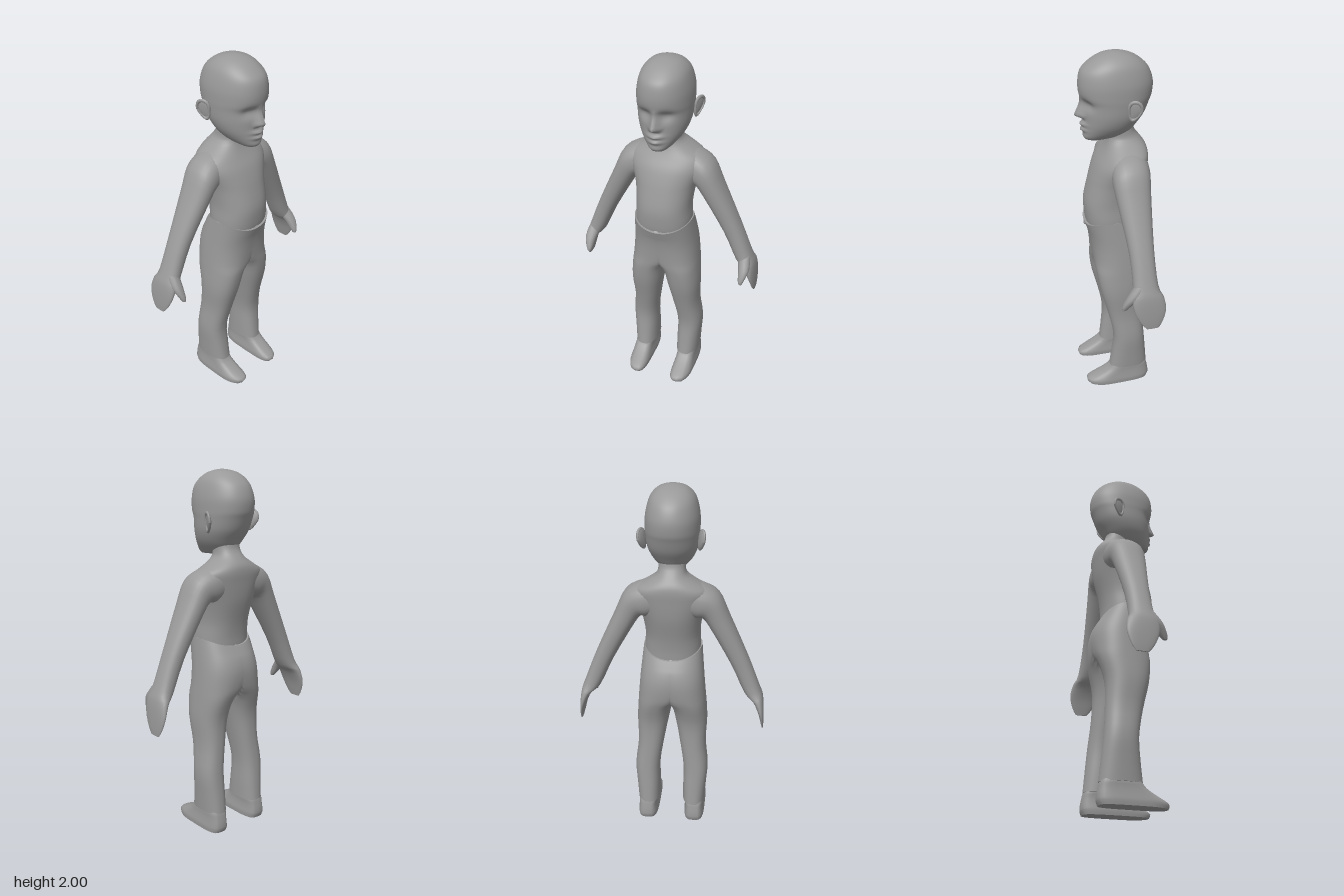
import * as THREE from 'three';

const material = new THREE.MeshStandardMaterial({ color: 0x999999 });

// Uniform Catmull-Rom value between b and c
const spline = (a, b, c, d, t) =>
  0.5 * (2 * b + (c - a) * t + (2 * a - 5 * b + 4 * c - d) * t * t + (3 * b - a - 3 * c + d) * t ** 3);

// Skin over oval rings listed from bottom to top.
// Ring: [outer x, outer y, inner x, inner y, front z, back z]
function loft(rings, { n = 28, steps = 3, power = 2.3, warp = null } = {}) {
  const fine = [];
  const at = i => rings[Math.min(Math.max(i, 0), rings.length - 1)];
  for (let i = 0; i < rings.length - 1; i++)
    for (let s = 0; s < steps; s++)
      fine.push(rings[i].map((_, k) => spline(at(i - 1)[k], at(i)[k], at(i + 1)[k], at(i + 2)[k], s / steps)));
  fine.push(at(rings.length - 1));

  const round = v => Math.sign(v) * Math.abs(v) ** (2 / power);
  const pos = [], index = [];
  const addRing = ([ox, oy, ix, iy, zf, zb]) => {
    for (let j = 0; j < n; j++) {
      const t = (j / n) * Math.PI * 2, c = round(Math.cos(t)), s = round(Math.sin(t));
      const p = new THREE.Vector3(
        (ox + ix) / 2 + c * (ox - ix) / 2,
        (oy + iy) / 2 + c * (oy - iy) / 2,
        (zf + zb) / 2 + s * (zf - zb) / 2);
      if (warp) warp(p);
      pos.push(p.x, p.y, p.z);
    }
  };
  fine.forEach(addRing);
  for (let i = 0; i < fine.length - 1; i++)
    for (let j = 0; j < n; j++) {
      const a = i * n + j, b = i * n + (j + 1) % n;
      index.push(a, a + n, b, b, a + n, b + n);
    }
  // End caps with their own corners
  [[fine[0], false], [fine[fine.length - 1], true]].forEach(([ring, top]) => {
    const start = pos.length / 3;
    addRing(ring);
    for (let j = 1; j < n - 1; j++)
      index.push(start, start + (top ? j + 1 : j), start + (top ? j : j + 1));
  });
  const geo = new THREE.BufferGeometry();
  geo.setAttribute('position', new THREE.Float32BufferAttribute(pos, 3));
  geo.setIndex(index);
  geo.computeVertexNormals();
  return geo;
}

// Upright ring symmetric in x, and upright ring with separate x limits
const centred = ([y, w, zf, zb]) => [w, y, -w, y, zf, zb];
const upright = ([y, outer, inner, zf, zb]) => [outer, y, inner, y, zf, zb];

function mirrored(geo) {
  const m = geo.clone().scale(-1, 1, 1), a = m.index.array;
  for (let i = 0; i < a.length; i += 3) [a[i], a[i + 1]] = [a[i + 1], a[i]];
  const nor = m.attributes.normal, src = geo.attributes.normal;
  for (let i = 0; i < nor.count; i++) nor.setXYZ(i, -src.getX(i), src.getY(i), src.getZ(i));
  return m;
}

export function createModel() {
  const model = new THREE.Group();
  model.name = 'child';
  const add = (name, geo) => {
    const mesh = new THREE.Mesh(geo, material);
    mesh.name = name;
    model.add(mesh);
  };
  const addPair = (name, geo) => {
    add('left' + name, geo);
    add('right' + name, mirrored(geo));
  };

  // Torso and neck
  add('torso', loft([
    [1.0, 0.148, 0.135, -0.115], [1.06, 0.154, 0.153, -0.122], [1.12, 0.155, 0.161, -0.124],
    [1.2, 0.151, 0.162, -0.135], [1.3, 0.163, 0.138, -0.158], [1.36, 0.182, 0.12, -0.167],
    [1.42, 0.205, 0.096, -0.172], [1.47, 0.2, 0.066, -0.175],
    [1.51, 0.137, 0.045, -0.168], [1.55, 0.08, 0.033, -0.14], [1.6, 0.071, 0.035, -0.107],
    [1.69, 0.071, 0.04, -0.105],
  ].map(centred), { n: 40 }));

  // Head: face features are pushed out of or into the skull
  const bump = (d, w) => Math.exp(-((d / w) ** 2));
  const face = p => {
    if (p.z < 0.04) return;
    const { x, y } = p, ax = Math.abs(x);
    p.z -= 0.02 * bump(ax - 0.055, 0.038) * bump(y - 1.75, 0.03);
    const nose = Math.min(1, y > 1.685 ? Math.max(0, (1.785 - y) / 0.1) : Math.max(0, (y - 1.66) / 0.025));
    p.z += 0.05 * nose * bump(x, 0.013 + 0.009 * nose);
    p.z += 0.012 * bump(ax - 0.021, 0.009) * bump(y - 1.677, 0.011);
    p.z += 0.022 * bump(y - 1.638, 0.011) * bump(x, 0.036);
    p.z += 0.018 * bump(y - 1.609, 0.011) * bump(x, 0.034);
  };
  add('head', loft([
    [1.555, 0.045, 0.15, 0.03], [1.57, 0.066, 0.16, -0.05], [1.6, 0.093, 0.158, -0.095],
    [1.64, 0.117, 0.156, -0.126], [1.69, 0.133, 0.157, -0.16], [1.75, 0.139, 0.163, -0.185],
    [1.79, 0.141, 0.176, -0.199], [1.85, 0.139, 0.18, -0.202], [1.91, 0.126, 0.168, -0.182],
    [1.95, 0.108, 0.13, -0.147], [1.98, 0.077, 0.082, -0.1], [1.995, 0.04, 0.035, -0.05], [2.0, 0.008, 0.005, -0.015],
  ].map(centred), { n: 72, steps: 6, power: 2.15, warp: face }));

  // Ears: a thin bowl with a raised rim, swung out at the back and narrowing to the lobe
  const place = g => {
    const p = g.attributes.position;
    for (let i = 0; i < p.count; i++)
      p.setZ(i, p.getZ(i) * (1 + 5 * p.getY(i)) + Math.max(0, -p.getY(i)) * 0.3);
    g.computeVertexNormals();
    return g.rotateZ(-0.1).rotateY(-0.4).translate(0.149, 1.735, -0.078);
  };
  addPair('Ear', place(new THREE.SphereGeometry(1, 16, 12).scale(0.009, 0.05, 0.034)));
  addPair('EarRim', place(new THREE.TorusGeometry(0.036, 0.007, 8, 20)
    .rotateY(Math.PI / 2).scale(1.1, 1.35, 0.88).translate(0.005, 0, 0)));

  // Arms with flat hands, from fingertips to shoulder
  addPair('Arm', loft([
    [0.523, 0.66, 0.515, 0.66, -0.05, -0.115], [0.524, 0.7, 0.506, 0.695, -0.02, -0.138],
    [0.521, 0.77, 0.488, 0.76, 0.012, -0.157], [0.512, 0.845, 0.455, 0.825, 0.022, -0.147],
    [0.49, 0.905, 0.405, 0.87, 0.008, -0.125], [0.42, 1.08, 0.325, 1.04, 0.012, -0.12],
    [0.31, 1.32, 0.2, 1.26, 0.043, -0.135], [0.25, 1.445, 0.16, 1.31, 0.052, -0.145],
    [0.165, 1.497, 0.13, 1.31, 0.045, -0.155], [0.07, 1.52, 0.07, 1.33, 0.03, -0.155],
  ]));
  addPair('Thumb', loft([
    [0.472, 0.765, 0.453, 0.765, 0.07, 0.048], [0.482, 0.79, 0.446, 0.785, 0.07, 0.026],
    [0.498, 0.845, 0.436, 0.835, 0.046, -0.02], [0.485, 0.91, 0.42, 0.88, 0.006, -0.08],
  ], { n: 14 }));

  // Trousers: two halves joined on the middle plane above the crotch
  const trousers = loft([
    [0.115, 0.2, 0.07, 0.055, -0.17], [0.22, 0.207, 0.07, 0.042, -0.16],
    [0.35, 0.214, 0.07, 0.033, -0.147], [0.5, 0.198, 0.048, 0.062, -0.135],
    [0.65, 0.202, 0.02, 0.1, -0.133], [0.77, 0.194, -0.012, 0.118, -0.163],
    [0.84, 0.188, -0.1, 0.123, -0.18], [0.94, 0.179, -0.155, 0.133, -0.184],
    [1.03, 0.17, -0.166, 0.15, -0.158], [1.11, 0.162, -0.162, 0.166, -0.13],
  ].map(upright), {
    n: 64,
    power: 2.4,
    warp: p => {
      if (p.y > 1.0) p.y -= 0.045 * (1 - Math.min(1, (p.x / 0.16) ** 2)) * (p.y - 1.0) / 0.11;
      if (p.y > 0.72) p.x = Math.max(p.x, 0);
    },
  });
  // Smooth the shading across the middle seam
  const tp = trousers.attributes.position, tn = trousers.attributes.normal;
  for (let i = 0; i < tp.count; i++) {
    const v = new THREE.Vector3(0, tn.getY(i), tn.getZ(i));
    if (tp.getX(i) < 1e-5 && v.length() > 1e-3) tn.setXYZ(i, ...v.normalize().toArray());
  }
  addPair('TrouserHalf', trousers);

  // Shoes: the toe is cut back on the outer side
  addPair('Shoe', loft([
    [0, 0.2, 0.08, 0.19, -0.172], [0.022, 0.202, 0.078, 0.198, -0.18],
    [0.04, 0.2, 0.08, 0.172, -0.18], [0.06, 0.197, 0.083, 0.13, -0.178],
    [0.09, 0.194, 0.085, 0.075, -0.172], [0.115, 0.194, 0.083, 0.05, -0.166],
    [0.15, 0.186, 0.092, 0.03, -0.15],
  ].map(upright), {
    power: 3.6,
    steps: 2,
    warp: p => { if (p.z > 0.05) p.z -= Math.max(0, p.x - 0.155) * (p.z - 0.05) * 7; },
  }));

  return model;
}
